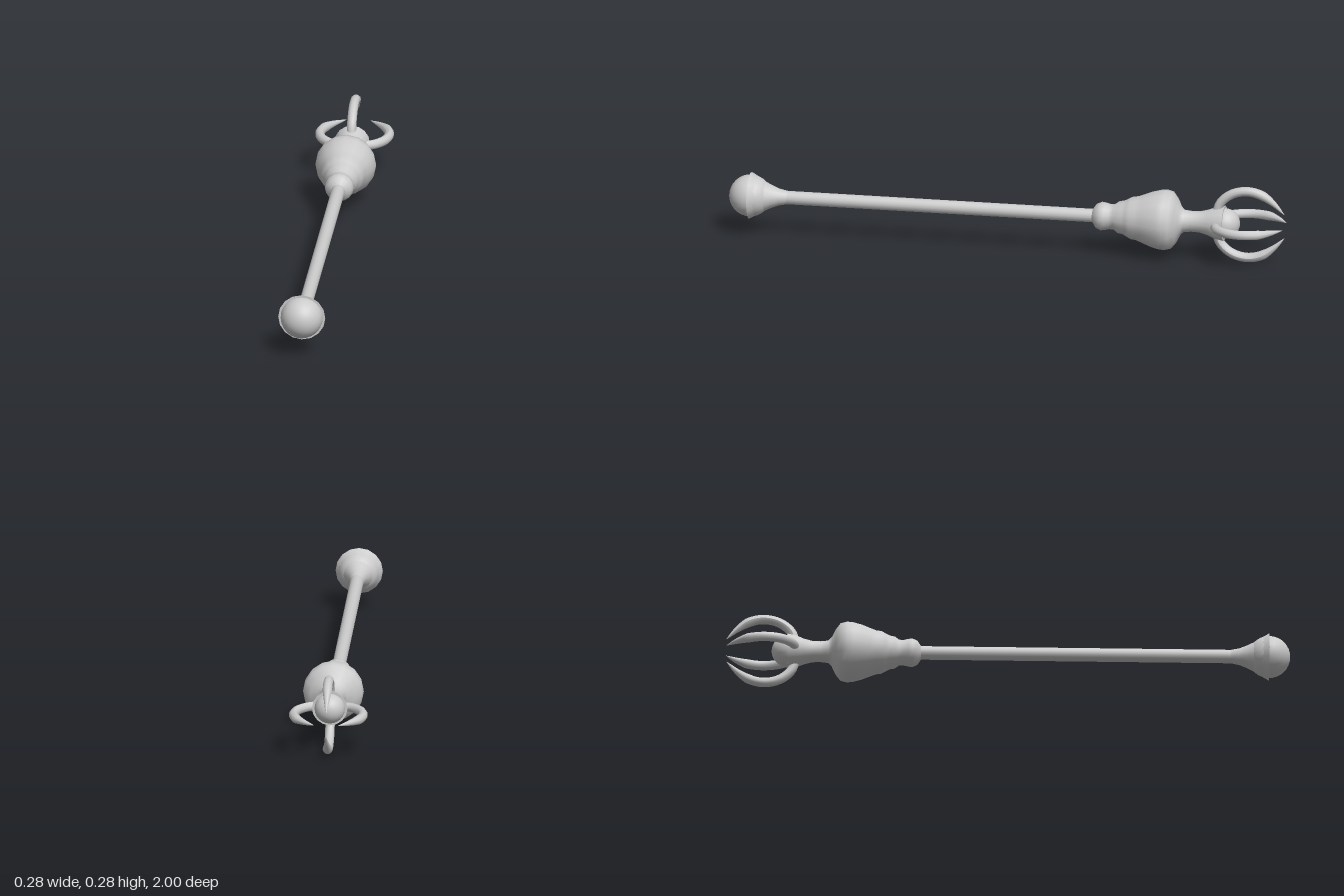
import * as THREE from 'three';

const material = new THREE.MeshStandardMaterial({ color: 0xcccccc, side: THREE.DoubleSide });
const SIDES = 16;

// Turned part along the staff: points are [radius, distance towards the back]
function turned(name, points) {
  const profile = points.map(([r, s]) => new THREE.Vector2(r, s));
  const mesh = new THREE.Mesh(new THREE.LatheGeometry(profile, SIDES), material);
  mesh.name = name;
  return mesh;
}

function ball(name, radius, s) {
  const mesh = new THREE.Mesh(new THREE.SphereGeometry(radius, 24, 16), material);
  mesh.name = name;
  mesh.position.y = s;
  return mesh;
}

// Curved claw: a tube whose rings shrink to a point near the tip
function clawGeometry() {
  const curve = new THREE.CatmullRomCurve3([
    [0.035, 0.755], [0.075, 0.769], [0.11, 0.81], [0.123, 0.865],
    [0.112, 0.917], [0.083, 0.96], [0.043, 1.0],
  ].map(([x, y]) => new THREE.Vector3(x, y, 0)));
  const rings = 28, sides = 10;
  const geometry = new THREE.TubeGeometry(curve, rings, 0.0168, sides);
  const pos = geometry.attributes.position;
  const v = new THREE.Vector3();
  for (let i = 0; i <= rings; i++) {
    const t = i / rings;
    const scale = t < 0.68 ? 1 : Math.max(0.02, Math.pow((1 - t) / 0.32, 0.8));
    const centre = curve.getPointAt(t);
    for (let j = 0; j <= sides; j++) {
      const k = i * (sides + 1) + j;
      v.fromBufferAttribute(pos, k).sub(centre).multiplyScalar(scale).add(centre);
      pos.setXYZ(k, v.x, v.y, v.z);
    }
  }
  geometry.computeVertexNormals();
  return geometry;
}

export function createModel() {
  const model = new THREE.Group();
  model.name = 'scepter';

  // Built upright, then laid down so its top points to the back
  const staff = new THREE.Group();
  staff.name = 'staff';
  staff.rotation.x = -Math.PI / 2;
  staff.position.y = 0.142;
  model.add(staff);

  // Pommel: ball seated in a flared cup
  staff.add(ball('pommelBall', 0.075, -0.925));
  staff.add(turned('pommelRim', [[0, -0.925], [0.084, -0.925]]));
  staff.add(turned('pommelFlare', [
    [0.084, -0.925], [0.07, -0.9], [0.053, -0.873], [0.04, -0.846], [0.03, -0.82], [0.024, -0.79],
  ]));

  staff.add(turned('shaft', [[0.024, -0.79], [0.024, 0.33]]));

  // Head: collar beads, bulb, neck and flared socket
  staff.add(turned('head', [
    [0.022, 0.308], [0.043, 0.322], [0.051, 0.34], [0.049, 0.355], [0.045, 0.372], [0.046, 0.387],
    [0.057, 0.402], [0.06, 0.42], [0.068, 0.435], [0.076, 0.45], [0.078, 0.468],
    [0.087, 0.492], [0.098, 0.52], [0.106, 0.55], [0.108, 0.572], [0.102, 0.595],
    [0.08, 0.612], [0.053, 0.625], [0.04, 0.638], [0.037, 0.665], [0.038, 0.695],
    [0.046, 0.725], [0.057, 0.752], [0.063, 0.784],
  ]));
  staff.add(turned('socketRim', [[0.063, 0.784], [0, 0.784]]));
  staff.add(ball('socketBall', 0.054, 0.785));

  // Four claws around the socket
  const claw = clawGeometry();
  for (let i = 0; i < 4; i++) {
    const mesh = new THREE.Mesh(claw, material);
    mesh.name = 'claw' + (i + 1);
    mesh.rotation.y = i * Math.PI / 2;
    staff.add(mesh);
  }
  return model;
}
